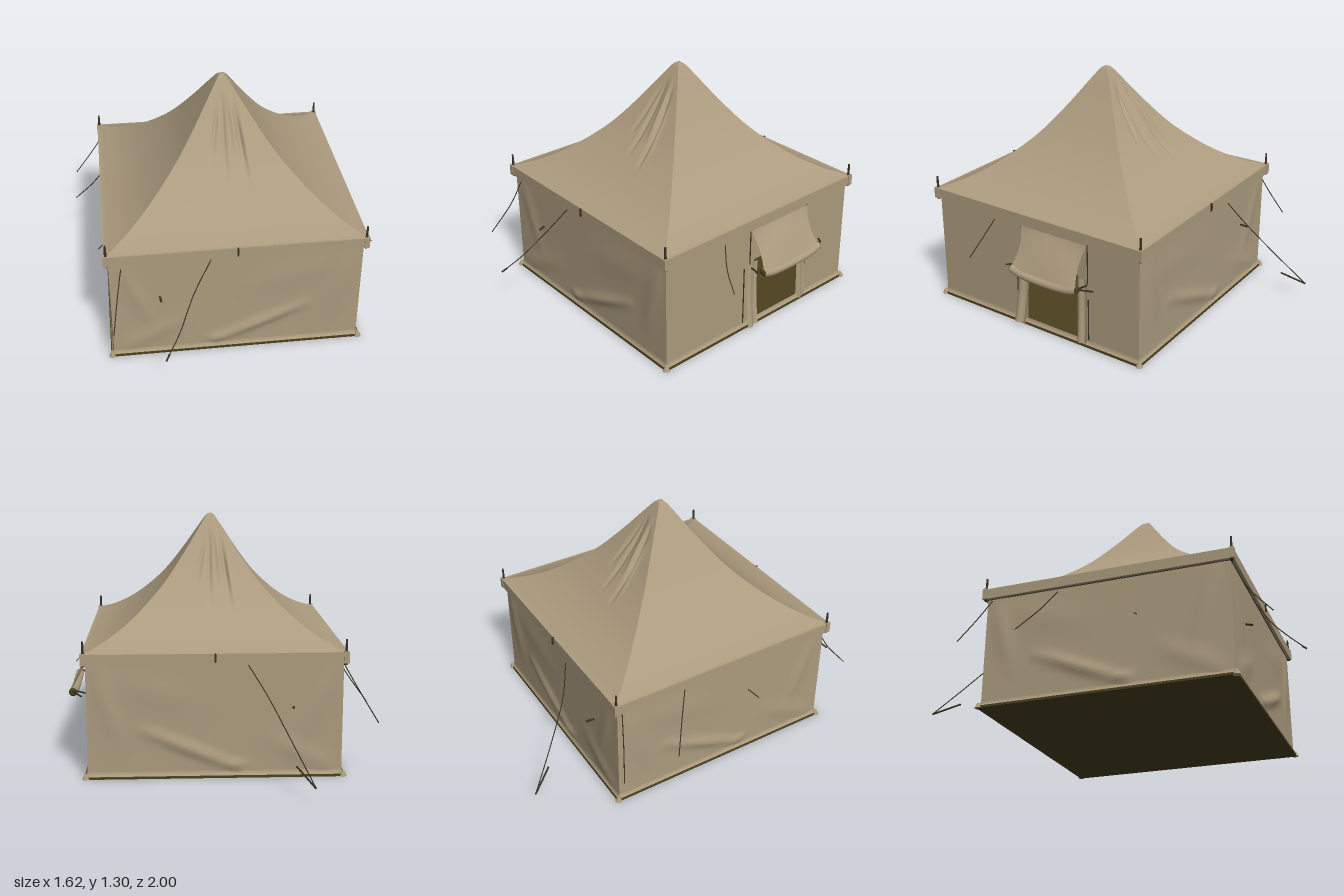
import * as THREE from 'three';

const canvas = new THREE.MeshStandardMaterial({ color: 0xac9b7e, side: THREE.DoubleSide });
canvas.name = 'tan canvas';
const olive = new THREE.MeshStandardMaterial({ color: 0x4c411e });
olive.name = 'dark olive lining';
const dark = new THREE.MeshStandardMaterial({ color: 0x3b3327 });
dark.name = 'dark rope';

const CX = 0.015, CZ = 0.045;   // tent centre
const HALF = 0.652;             // half width of the walls
const EAVE = 0.655;             // eave height

function part(name, geometry, material, parent, x = 0, y = 0, z = 0) {
  const mesh = new THREE.Mesh(geometry, material);
  mesh.name = name;
  mesh.position.set(x, y, z);
  parent.add(mesh);
  return mesh;
}

// Cloth sheet: a grid whose vertices are placed by fn(u, v) -> [x, y, z]
function sheet(nu, nv, fn) {
  const g = new THREE.PlaneGeometry(1, 1, nu, nv);
  const p = g.attributes.position;
  for (let i = 0; i < p.count; i++) p.setXYZ(i, ...fn(p.getX(i) + 0.5, p.getY(i) + 0.5));
  g.computeVertexNormals();
  return g;
}

// Height of cloth folds at (x, y); each fold is [x0, y0, x1, y1, height, width]
function folds(list, x, y) {
  let h = 0;
  for (const [x0, y0, x1, y1, amp, w] of list) {
    const dx = x1 - x0, dy = y1 - y0;
    const t = THREE.MathUtils.clamp(((x - x0) * dx + (y - y0) * dy) / (dx * dx + dy * dy), 0, 1);
    const d = Math.hypot(x - x0 - t * dx, y - y0 - t * dy) / w;
    h += amp * Math.exp(-d * d) * (0.35 + 0.65 * Math.sin(Math.PI * t));
  }
  return h;
}

const wallFolds = [
  [-0.12, 0.05, 0.36, 0.25, 0.016, 0.03], [-0.6, 0.04, -0.3, 0.2, 0.008, 0.05],
  [-0.58, 0.55, -0.45, 0.2, 0.007, 0.04], [0.6, 0.57, 0.5, 0.2, 0.008, 0.05],
  [0.1, 0.4, 0.5, 0.5, 0.005, 0.08], [-0.15, 0.07, -0.05, 0.07, 0.008, 0.02],
];
const roofFolds = [
  [-0.03, 1.18, -0.08, 0.95, -0.014, 0.012], [-0.01, 1.2, -0.015, 0.86, -0.016, 0.012],
  [0.03, 1.2, 0.05, 0.95, 0.012, 0.014], [0.05, 1.16, 0.1, 0.84, -0.018, 0.014],
  [0.08, 1.1, 0.11, 0.85, 0.01, 0.014],
];
const roofProfile = new THREE.SplineCurve([
  [0.668, EAVE], [0.635, 0.665], [0.55, 0.702], [0.45, 0.765], [0.35, 0.85],
  [0.25, 0.955], [0.15, 1.092], [0.05, 1.245], [0.02, 1.288], [0, 1.3],
].map(([r, y]) => new THREE.Vector2(r, y)));

function wallWithDoor() {
  const s = new THREE.Shape();
  s.moveTo(-HALF, 0).lineTo(HALF, 0).lineTo(HALF, 0.62).lineTo(-HALF, 0.62).closePath();
  const door = new THREE.Path();
  door.moveTo(-0.06, 0.022).lineTo(-0.05, 0.4).lineTo(0.28, 0.4).lineTo(0.29, 0.022).closePath();
  s.holes.push(door);
  return new THREE.ShapeGeometry(s).translate(0, 0, HALF);
}

function tube(points, radius, segments = 12, sides = 5) {
  const curve = new THREE.CatmullRomCurve3(points.map(p => new THREE.Vector3(...p)));
  return new THREE.TubeGeometry(curve, segments, radius, sides);
}

export function createModel() {
  const model = new THREE.Group();
  model.name = 'tent';
  const body = new THREE.Group();
  body.name = 'tentBody';
  body.position.set(CX, 0, CZ);
  model.add(body);

  // Four sides: 0 front, 1 door side (+x), 2 back, 3 far side (-x)
  for (let k = 0; k < 4; k++) {
    const side = new THREE.Group();
    side.name = ['frontSide', 'doorSide', 'backSide', 'plainSide'][k];
    side.rotation.y = k * Math.PI / 2;
    body.add(side);

    const wall = k === 1 ? wallWithDoor() : sheet(80, 36, (u, v) => {
      const x = (u - 0.5) * 2 * HALF, y = v * 0.62;
      const fade = Math.min(1, (HALF - Math.abs(x)) / 0.05);
      return [x, y, HALF + fade * folds(wallFolds, k === 0 ? x : -x, y)];
    });
    part('wall', wall, canvas, side);

    // Flared hem along the ground
    part('groundHem', sheet(1, 4, (u, v) => {
      const r = HALF + 0.002 + 0.014 * (1 - v) ** 2;
      return [(u - 0.5) * 2 * r, 0.006 + v * 0.03, r];
    }), canvas, side);

    // Concave roof panel, creased near the peak on front and back
    part('roofPanel', sheet(96, 60, (u, v) => {
      const p = roofProfile.getPoint(v);
      const x = (u - 0.5) * 2 * p.x;
      const fade = Math.max(0, 1 - Math.abs(u - 0.5) * 2);
      const crease = k % 2 ? 0 : Math.min(1, fade * 3) * folds(roofFolds, x, p.y);
      return [x, p.y, p.x + crease];
    }), canvas, side);

    // Valance strip below the eave, with its toggle
    part('valance', new THREE.BoxGeometry(1.344, 0.056, 0.02), canvas, side, 0, 0.628, 0.662);
    part('valanceShadowSeam', new THREE.BoxGeometry(1.3, 0.004, 0.008), dark, side, 0, 0.599, HALF);
    if (k % 2 === 0) part('valanceToggle', new THREE.BoxGeometry(0.008, 0.045, 0.012), dark, side, 0, 0.635, 0.675);

    // Corner post tip, corner pocket and ground peg
    part('cornerPost', new THREE.CylinderGeometry(0.005, 0.009, 0.13, 8), dark, side, 0.661, 0.657, 0.661);
    part('cornerPocket', new THREE.BoxGeometry(0.026, 0.06, 0.026), canvas, side, 0.663, 0.63, 0.663);
    part('cornerPeg', new THREE.CylinderGeometry(0.008, 0.02, 0.026, 8), canvas, side, 0.66, 0.013, 0.66);
  }

  // Floor and dark inside lining (box turned inside out)
  part('floor', new THREE.BoxGeometry(1.336, 0.012, 1.336), olive, body, 0, 0.006, 0);
  const lining = new THREE.BoxGeometry(1.27, 0.58, 1.27).scale(-1, 1, 1);
  lining.computeVertexNormals();
  part('lining', lining, olive, body, 0, 0.304, 0);

  // Awning over the door: slack sheet ending in a roll
  part('awning', sheet(20, 14, (u, v) => {
    const t = 1 - v, w = 0.21 - 0.02 * Math.sin(Math.PI * t);
    const slack = 0.012 * Math.sin(Math.PI * u) * Math.sin(Math.PI * t);
    return [0.674 + 0.1 * t ** 1.25 + slack, 0.585 - 0.205 * t, -0.083 - (u - 0.5) * 2 * w];
  }), canvas, model);
  part('awningRoll', tube([[0.762, 0.375, 0.125], [0.765, 0.36, 0.06], [0.765, 0.353, -0.08],
    [0.765, 0.36, -0.23], [0.762, 0.375, -0.295]], 0.023, 24, 12), canvas, model);
  for (const z of [0.125, -0.295])
    part('awningRollEnd', new THREE.SphereGeometry(0.0225, 12, 8).scale(1, 1, 0.4), olive, model, 0.762, 0.375, z);

  // Sticks holding the awning out
  part('awningStick', tube([[0.668, 0.36, 0.12], [0.72, 0.375, 0.14], [0.765, 0.385, 0.165]], 0.005), dark, model);
  part('awningStick', tube([[0.668, 0.36, -0.29], [0.76, 0.385, -0.31], [0.71, 0.365, -0.36]], 0.005), dark, model);

  // Door curtains tied to both sides of the opening
  for (const [z0, z1, out] of [[0.165, 0.095, 0.036], [-0.238, -0.295, 0.014]])
    part('doorCurtain', sheet(10, 12, (u, v) => [
      0.674 + out * (1 - v) ** 2 + 0.008 * Math.sin(u * Math.PI * 2) * (1 - v * 0.5),
      0.02 + v * 0.37,
      THREE.MathUtils.lerp(z0, z1, u) - 0.02 * v * (z0 > 0 ? 1 : -0.2),
    ]), canvas, model);
  // Seams framing the door panel
  for (const [z, y, h] of [[0.128, 0.48, 0.2], [-0.295, 0.48, 0.22], [0.168, 0.2, 0.34], [-0.298, 0.16, 0.24]])
    part('doorSeam', new THREE.BoxGeometry(0.005, h, 0.004), dark, model, 0.669, y, z);

  // Guy ropes
  const ropes = [
    [[-0.12, 0.595, 0.71], [-0.22, 0.44, 0.79], [-0.3, 0.3, 0.9], [-0.38, 0.195, 0.99]],
    [[-0.15, 0.6, -0.64], [-0.24, 0.46, -0.71], [-0.34, 0.28, -0.84], [-0.45, 0.08, -1.0]],
    [[-0.575, 0.575, 0.71], [-0.6, 0.45, 0.77], [-0.63, 0.3, 0.89]],
    [[-0.64, 0.59, -0.58], [-0.72, 0.45, -0.62], [-0.81, 0.3, -0.67]],
    [[-0.64, 0.58, -0.21], [-0.71, 0.46, -0.27], [-0.81, 0.32, -0.35]],
    [[0.67, 0.57, 0.31], [0.73, 0.47, 0.35], [0.81, 0.38, 0.375]],
  ];
  for (const r of ropes) part('guyRope', tube(r, 0.0028, 20), dark, model);
  for (const [a, b] of [[[-0.38, 0.195, 0.99], [-0.36, 0.22, 0.965]], [[-0.45, 0.08, -1.0], [-0.37, 0.15, -0.88]]])
    part('ropeSlider', tube([a, b], 0.005, 2), dark, model);

  // Small wall ties
  part('wallTie', tube([[-0.385, 0.37, 0.69], [-0.38, 0.36, 0.735]], 0.006, 2), dark, model);
  part('wallTie', tube([[-0.385, 0.37, -0.6], [-0.38, 0.37, -0.655]], 0.006, 2), dark, model);
  part('wallTie', tube([[-0.63, 0.4, 0.2], [-0.69, 0.36, 0.24]], 0.003, 2), dark, model);
  return model;
}
